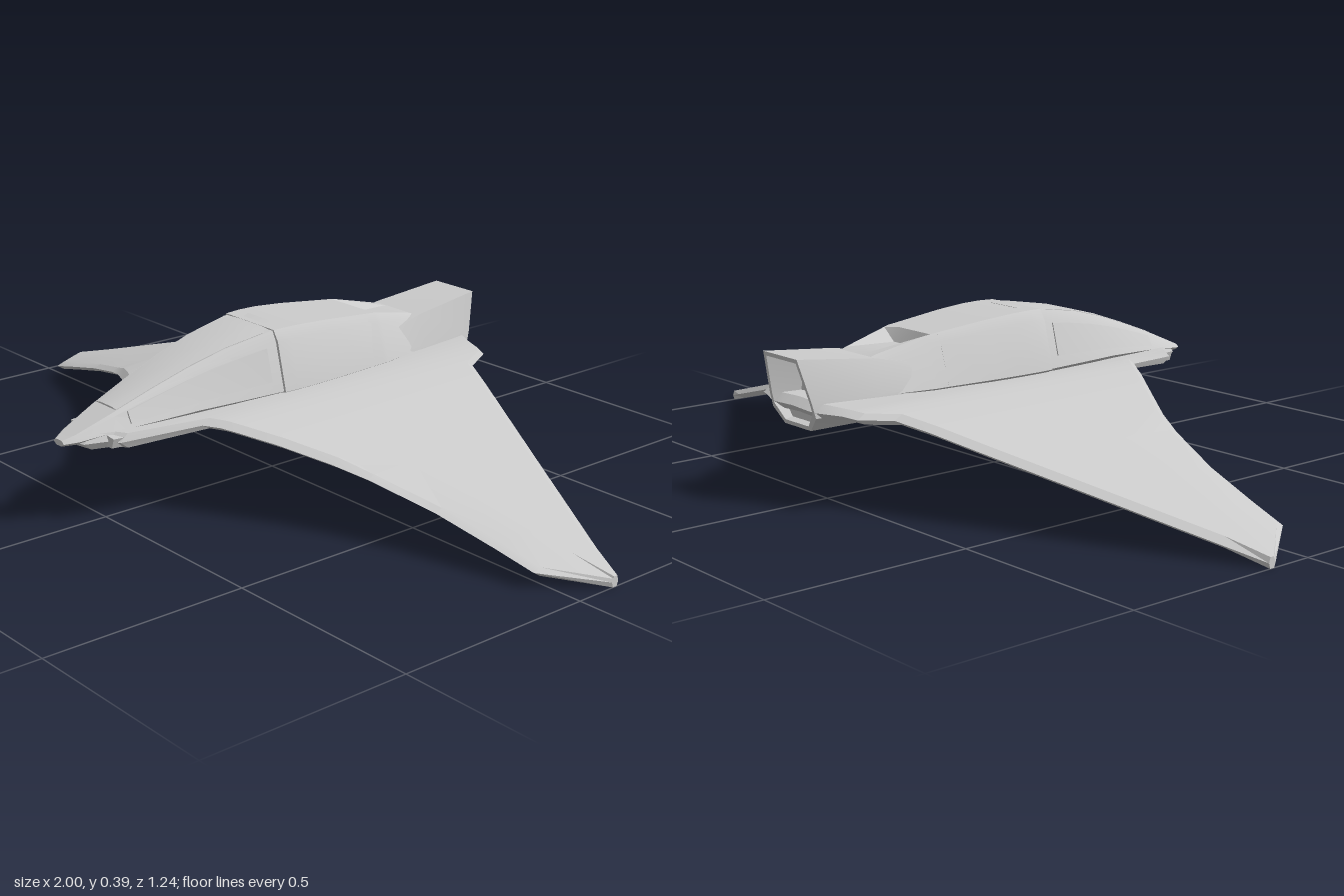
import * as THREE from 'three';
import { toCreasedNormals } from 'three/addons/utils/BufferGeometryUtils.js';

const material = new THREE.MeshStandardMaterial({ color: 0xcccccc });

// Skins a list of equal-length rings of [x, y, z] points and caps both ends.
function loft(rings, crease = 0.4) {
  const pos = [];
  const tri = (...points) => points.forEach((p) => pos.push(...p));
  const n = rings[0].length;
  for (let i = 0; i < rings.length - 1; i++) {
    for (let j = 0; j < n; j++) {
      const k = (j + 1) % n;
      const [a, b, c, d] = [rings[i][j], rings[i][k], rings[i + 1][k], rings[i + 1][j]];
      tri(a, b, c);
      tri(a, c, d);
    }
  }
  const first = rings[0], last = rings[rings.length - 1];
  for (let j = 1; j < n - 1; j++) {
    tri(first[0], first[j + 1], first[j]);
    tri(last[0], last[j], last[j + 1]);
  }
  const geometry = new THREE.BufferGeometry();
  geometry.setAttribute('position', new THREE.Float32BufferAttribute(pos, 3));
  geometry.computeVertexNormals();
  return toCreasedNormals(geometry, crease);
}

// Mirrors a right-hand half outline (bottom to top) into a full ring.
function mirrorRing(half, z) {
  const zAt = typeof z === 'function' ? z : () => z;
  const full = [...half, ...half.slice().reverse().map(([x, y]) => [-x, y])];
  return full.map(([x, y]) => [x, y, zAt(y)]);
}

// Linear interpolation in a table whose rows start with an ascending key.
function lookup(table, key) {
  let i = 0;
  while (i < table.length - 2 && key > table[i + 1][0]) i++;
  const a = table[i], b = table[i + 1];
  const t = THREE.MathUtils.clamp((key - a[0]) / (b[0] - a[0]), 0, 1);
  return a.map((v, j) => v + (b[j] - v) * t);
}

// z, top height, top half width, side half width, side height, vent depth
const BODY = [
  [-0.52, 0.29, 0.045, 0.075, 0.24, 0],
  [-0.4, 0.332, 0.058, 0.1, 0.245, 0],
  [-0.275, 0.361, 0.076, 0.122, 0.245, 0.03],
  [-0.26, 0.364, 0.079, 0.123, 0.245, 0],
  [-0.1, 0.379, 0.088, 0.13, 0.245, 0],
  [0, 0.385, 0.09, 0.13, 0.245, 0],
  [0.08, 0.384, 0.085, 0.128, 0.245, 0],
  [0.2, 0.364, 0.073, 0.118, 0.245, 0],
  [0.3, 0.337, 0.062, 0.105, 0.244, 0],
  [0.4, 0.303, 0.051, 0.088, 0.238, 0],
  [0.5, 0.266, 0.04, 0.066, 0.23, 0],
  [0.59, 0.23, 0.024, 0.04, 0.217, 0],
  [0.62, 0.219, 0.012, 0.02, 0.212, 0],
];

// Half outline of the body at z, grown outward by g.
function bodyHalf(z, g = 0) {
  const [, top, wTop, wSide, ySide, vent] = lookup(BODY, z);
  const shoulder = [wTop + 0.3 * (wSide - wTop) + g, top - 0.18 * (top - ySide) + g * 0.3];
  return [
    [wSide * 0.5, Math.min(0.205, ySide - 0.006)],
    [wSide + g, ySide],
    shoulder,
    [wTop + g * 0.5, top + g * 0.4],
    [wTop * 0.5, top + g * 0.4 - vent],
  ];
}

// span, top height of the wing surface
const WING_Y = [[0, 0.25], [0.12, 0.245], [0.2, 0.235], [0.3, 0.212], [0.41, 0.182], [1, 0.025]];
// span, leading z, trailing z
const WING_Z = [
  [0, 0.59, -0.59], [0.04, 0.58, -0.59], [0.065, 0.53, -0.59], [0.09, 0.515, -0.585],
  [0.15, 0.33, -0.56], [0.185, 0.305, -0.545], [0.22, 0.285, -0.47], [0.3, 0.235, -0.434],
  [0.41, 0.17, -0.385], [0.49, 0.133, -0.349], [0.65, 0.08, -0.277], [0.8, 0.051, -0.21],
  [0.9, 0.035, -0.165], [1, -0.1, -0.12],
];

// One wing section: bevelled edges and a crease ahead of the outer panel.
function wingSection(x, side) {
  const [, lead, trail] = lookup(WING_Z, x);
  const y = lookup(WING_Y, x)[1];
  const chord = lead - trail;
  const bevel = Math.min(0.02, chord * 0.2);
  const thick = x < 0.15 ? 0.035 : 0.025;
  const creaseZ = x > 0.41
    ? Math.min(lead - bevel * 1.5, Math.max(0.17 - (x - 0.41) * 2.2, -0.01 - (x - 0.49) * 0.18))
    : lead - bevel * 2;
  const drop = x > 0.41 ? 0.005 : 0;
  const droop = (z) => Math.max(0, z - 0.3) * 0.08;
  const outline = [
    [y - thick * 0.5, trail],
    [y, trail + bevel],
    [y, Math.max(creaseZ, trail + bevel * 1.2)],
    [y - drop, lead - bevel],
    [y - thick * 0.5, lead],
    [y - thick, lead - bevel],
    [y - thick, trail + bevel],
  ];
  return outline.map(([py, pz]) => [x * side, py - droop(pz), pz]);
}

// Tail duct half outline from its top height and widths.
const tailHalf = (top, wTop, wMid, bottom) => [
  [wMid * 0.6, bottom], [wMid, bottom + 0.035], [wMid * 0.98, 0.25], [wTop, top],
];

export function createModel() {
  const model = new THREE.Group();
  const add = (name, geometry) => {
    const mesh = new THREE.Mesh(geometry, material);
    mesh.name = name;
    model.add(mesh);
  };

  // Main body
  add('fuselage', loft(BODY.map(([z]) => mirrorRing(bodyHalf(z), z))));

  // Cockpit cover on the top of the nose
  const canopyZ = [0.03, 0.1, 0.2, 0.3, 0.4, 0.49];
  add('canopy', loft(canopyZ.map((z) => {
    const [, top, w] = lookup(BODY, z);
    return mirrorRing([[w * 0.9, top - 0.02], [w * 0.96, top + 0.001], [w * 0.5, top + 0.004]], z);
  })));

  // Collar that wraps the body behind the cockpit
  const collar = [[-0.24, 0], [-0.1, 0.004], [-0.02, 0.007], [0.03, 0.008], [0.07, 0.007]];
  add('collar', loft(collar.map(([z, g]) => mirrorRing(bodyHalf(z, g), z))));

  // Side windows, lying just proud of the body flanks
  for (const side of [1, -1]) {
    const rings = [0.1, 0.16, 0.24, 0.32, 0.4, 0.47].map((z) => {
      const [, low, high] = bodyHalf(z);
      const at = (t, out) => [
        side * (low[0] + (high[0] - low[0]) * t + out), low[1] + (high[1] - low[1]) * t, z];
      const ring = [at(0.25, -0.01), at(0.25, 0.004), at(0.95, 0.004), at(0.95, -0.01)];
      return side > 0 ? ring : ring.reverse();
    });
    add(side > 0 ? 'leftWindow' : 'rightWindow', loft(rings));
  }

  // Full-span wing with the forward chines
  const port = WING_Z.slice(1).reverse().map(([x]) => wingSection(x, -1));
  add('wing', loft([...port, ...WING_Z.map(([x]) => wingSection(x, 1))], 0.3));

  // Tail duct with a raked, hollow outlet
  const rake = (y) => -0.62 + (0.35 - y) * 0.26;
  add('tailDuct', loft([
    mirrorRing(tailHalf(0.31, 0.045, 0.06, 0.215), -0.47),
    mirrorRing(tailHalf(0.34, 0.058, 0.076, 0.19), rake),
    mirrorRing(tailHalf(0.35, 0.066, 0.085, 0.18), rake),
    mirrorRing(tailHalf(0.329, 0.078, 0.103, 0.183), -0.42),
    mirrorRing(tailHalf(0.285, 0.1, 0.118, 0.2), -0.2),
  ]));

  // Keel along the belly: z, half width at the bottom, at the top, bottom height
  const keel = [
    [-0.56, 0.05, 0.085, 0.181], [-0.4, 0.045, 0.09, 0.182], [0, 0.032, 0.1, 0.187],
    [0.35, 0.03, 0.09, 0.191], [0.53, 0.03, 0.055, 0.192], [0.59, 0.015, 0.03, 0.205],
  ];
  add('keel', loft(keel.map(([z, wb, wt, y]) => mirrorRing([[wb, y], [wt, 0.215]], z))));

  // Cheek pods under the chines beside the nose
  for (const side of [1, -1]) {
    const rings = [[0.28, 0.012, 0.212], [0.44, 0.022, 0.198], [0.53, 0.02, 0.198]].map(([z, w, y]) => {
      const c = 0.1 - (z - 0.28) * 0.14;
      const ring = [[c - w, y], [c + w * 0.6, y], [c + w, 0.222], [c - w, 0.226]]
        .map(([x, py]) => [side * x, py, z]);
      return side > 0 ? ring : ring.reverse();
    });
    add(side > 0 ? 'leftCheek' : 'rightCheek', loft(rings));
  }
  return model;
}
